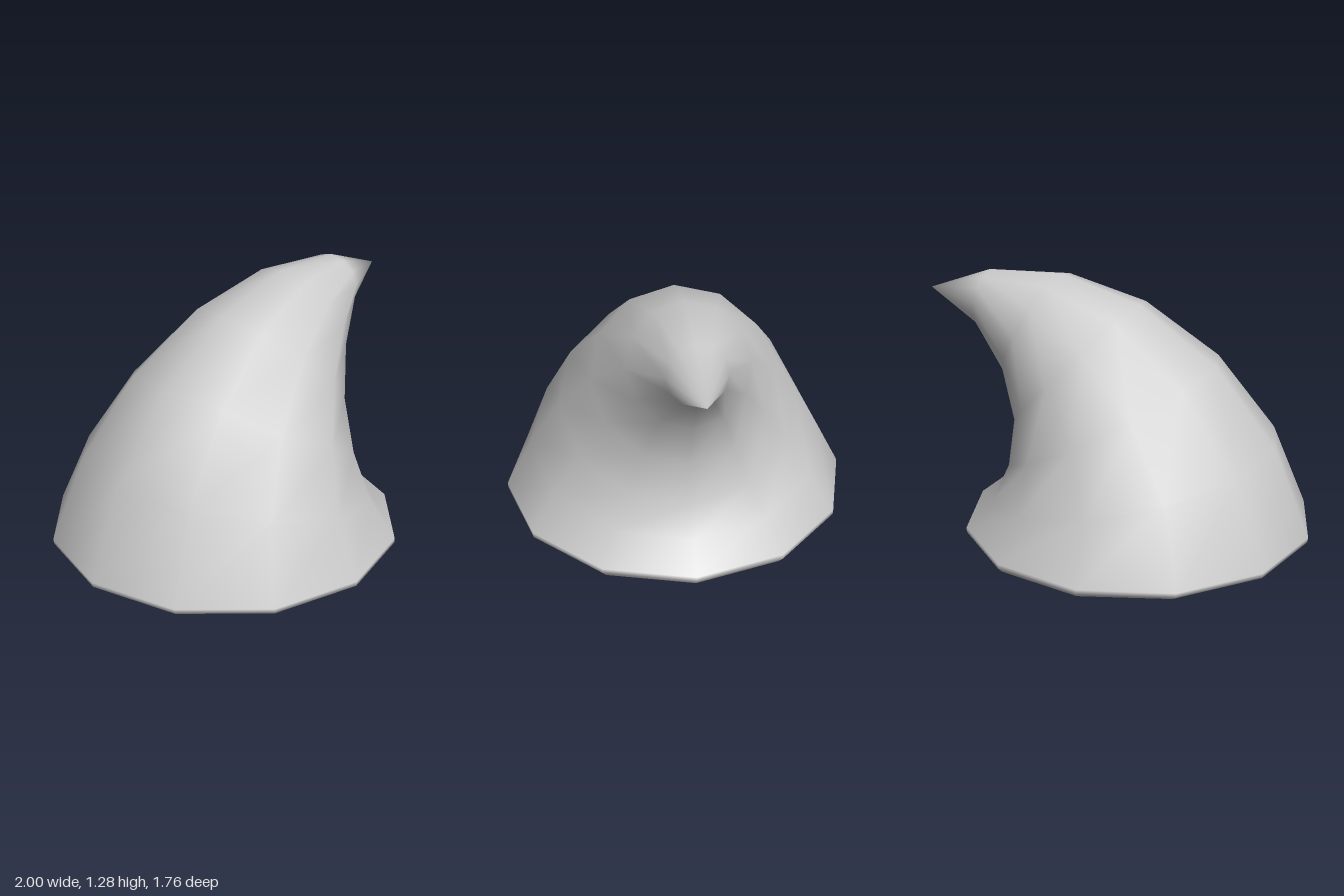
import * as THREE from 'three';

const SIDES = 12;

// Each ring is a circle given by its back and front points in the xy plane.
const RINGS = [
  [-0.955, 0.025, 0.73, 0.005], // underside edge of the lip
  [-0.995, 0.045, 0.755, 0.035],
  [-1.0, 0.07, 0.755, 0.06], // widest part of the lip
  [-0.82, 0.51, 0.62, 0.17],
  [-0.51, 0.9, 0.53, 0.33],
  [-0.12, 1.17, 0.5, 0.54],
  [0.28, 1.29, 0.57, 0.78],
  [0.67, 1.28, 0.73, 1.0],
];
const TIP = [1.0, 1.16, 0];

export function createModel() {
  const positions = [];
  const indices = [];

  // Cross-sections fanning along the bend
  for (const [bx, by, fx, fy] of RINGS) {
    const dx = (fx - bx) / 2, dy = (fy - by) / 2;
    const radius = Math.hypot(dx, dy);
    for (let j = 0; j < SIDES; j++) {
      const a = (j / SIDES) * Math.PI * 2;
      const c = Math.cos(a);
      positions.push((bx + fx) / 2 + dx * c, (by + fy) / 2 + dy * c, radius * Math.sin(a));
    }
  }
  const tip = positions.length / 3;
  positions.push(...TIP);

  // Skin between the rings, closed by a fan at the tip
  for (let i = 0; i < RINGS.length; i++) {
    for (let j = 0; j < SIDES; j++) {
      const a = i * SIDES + j;
      const b = i * SIDES + ((j + 1) % SIDES);
      if (i === RINGS.length - 1) indices.push(a, tip, b);
      else indices.push(a, a + SIDES, b, b, a + SIDES, b + SIDES);
    }
  }

  const geometry = new THREE.BufferGeometry();
  geometry.setAttribute('position', new THREE.Float32BufferAttribute(positions, 3));
  geometry.setIndex(indices);
  geometry.computeVertexNormals();

  // Hollow horn, open at the bottom
  const horn = new THREE.Mesh(
    geometry,
    new THREE.MeshStandardMaterial({ color: 0xcccccc, side: THREE.DoubleSide })
  );
  horn.name = 'curvedHorn';

  const group = new THREE.Group();
  group.name = 'horn';
  group.add(horn);
  return group;
}
